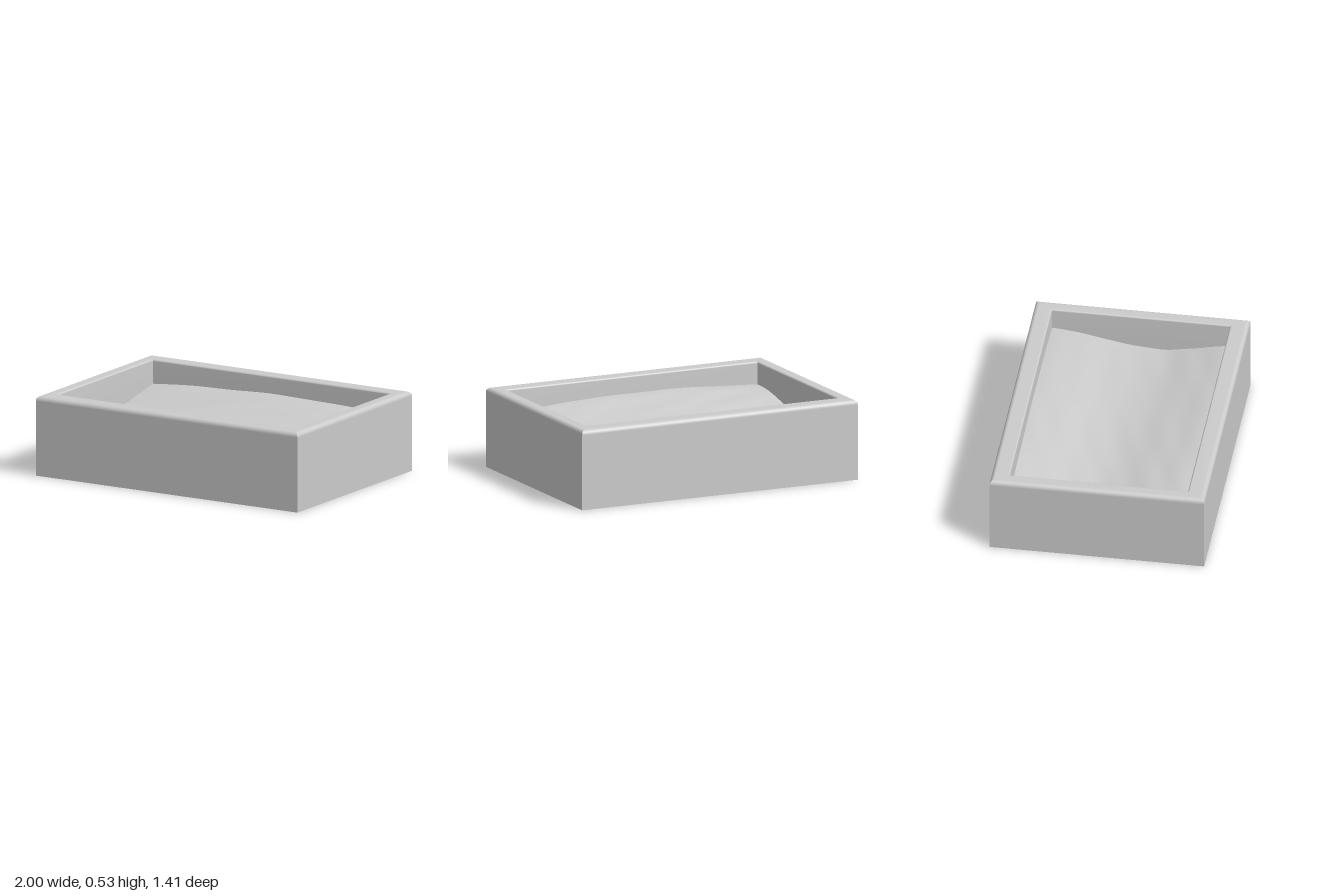
import * as THREE from 'three';
import { toCreasedNormals } from 'three/addons/utils/BufferGeometryUtils.js';

const HX = 1, HZ = 0.705, H = 0.53;   // outer half sizes and height
const IX = 0.908, IZ = 0.585;         // inner half sizes
const R = 0.03, RI = 0.012;           // rounding of the outer and inner top edges

const grey = () => new THREE.MeshStandardMaterial({ color: 0xcccccc });

// Mitred rectangular ring swept through a profile of [halfX, halfZ, y]
function rectRing(profile) {
  const corners = [[-1, 1], [1, 1], [1, -1], [-1, -1]];
  const pos = [];
  const put = (c, p) => pos.push(c[0] * p[0], p[2], c[1] * p[1]);
  for (let s = 0; s < 4; s++) {
    const a = corners[s], b = corners[(s + 1) % 4];
    for (let i = 0; i < profile.length - 1; i++) {
      const p = profile[i], q = profile[i + 1];
      put(a, p); put(b, p); put(b, q);
      put(a, p); put(b, q); put(a, q);
    }
  }
  const g = new THREE.BufferGeometry();
  g.setAttribute('position', new THREE.Float32BufferAttribute(pos, 3));
  return toCreasedNormals(g, 0.4);
}

// Height of the filling: a shallow trough, slightly skewed, with faint ripples
function sandHeight(x, z) {
  const u = x / IX, v = z / IZ;
  const bank = 0.29 + 0.09 * Math.sin(1.4 * (v - 0.15 * u)) ** 2 + 0.035 * (1 - u * u);
  const d = z + 0.35 * x;
  const ripple = 0.003 * Math.sin(11 * d + 2 * x) * Math.cos(3 * x - 2 * z)
    + 0.002 * Math.sin(24 * d - 5 * x + 1) * Math.sin(5 * x + 4 * z)
    + 0.0015 * Math.sin(6 * x + 30 * z) * Math.cos(7 * x + 1);
  return bank + ripple;
}

export function createModel() {
  const group = new THREE.Group();
  const add = (name, geometry) => {
    const mesh = new THREE.Mesh(geometry, grey());
    mesh.name = name;
    group.add(mesh);
  };

  // Walls: outer face, rounded top edge, flat rim, softened inner edge, inner face
  // (thin strips beside the rounded edges keep the large faces evenly shaded)
  const strip = 0.002;
  const profile = [[HX, HZ, 0], [HX, HZ, H - R - strip]];
  for (let i = 0; i <= 6; i++) {
    const t = (i / 6) * Math.PI / 2;
    const inset = R * (1 - Math.cos(t));
    profile.push([HX - inset, HZ - inset, H - R + R * Math.sin(t)]);
  }
  profile.push([HX - R - strip, HZ - R - strip, H]);
  profile.push([IX + RI + strip, IZ + RI + strip, H]);
  for (let i = 0; i <= 5; i++) {
    const t = (i / 5) * Math.PI / 2;
    const out = RI * (1 - Math.sin(t));
    profile.push([IX + out, IZ + out, H - RI + RI * Math.cos(t)]);
  }
  profile.push([IX, IZ, H - RI - strip], [IX, IZ, 0.2]);
  add('frame', rectRing(profile));

  // Flat underside
  add('base', new THREE.PlaneGeometry(2 * HX, 2 * HZ).rotateX(Math.PI / 2));

  // Undulating sand filling
  const sand = new THREE.PlaneGeometry(2 * IX, 2 * IZ, 72, 56).rotateX(-Math.PI / 2);
  const p = sand.attributes.position;
  for (let i = 0; i < p.count; i++) p.setY(i, sandHeight(p.getX(i), p.getZ(i)));
  sand.computeVertexNormals();
  add('sand', sand);

  return group;
}
